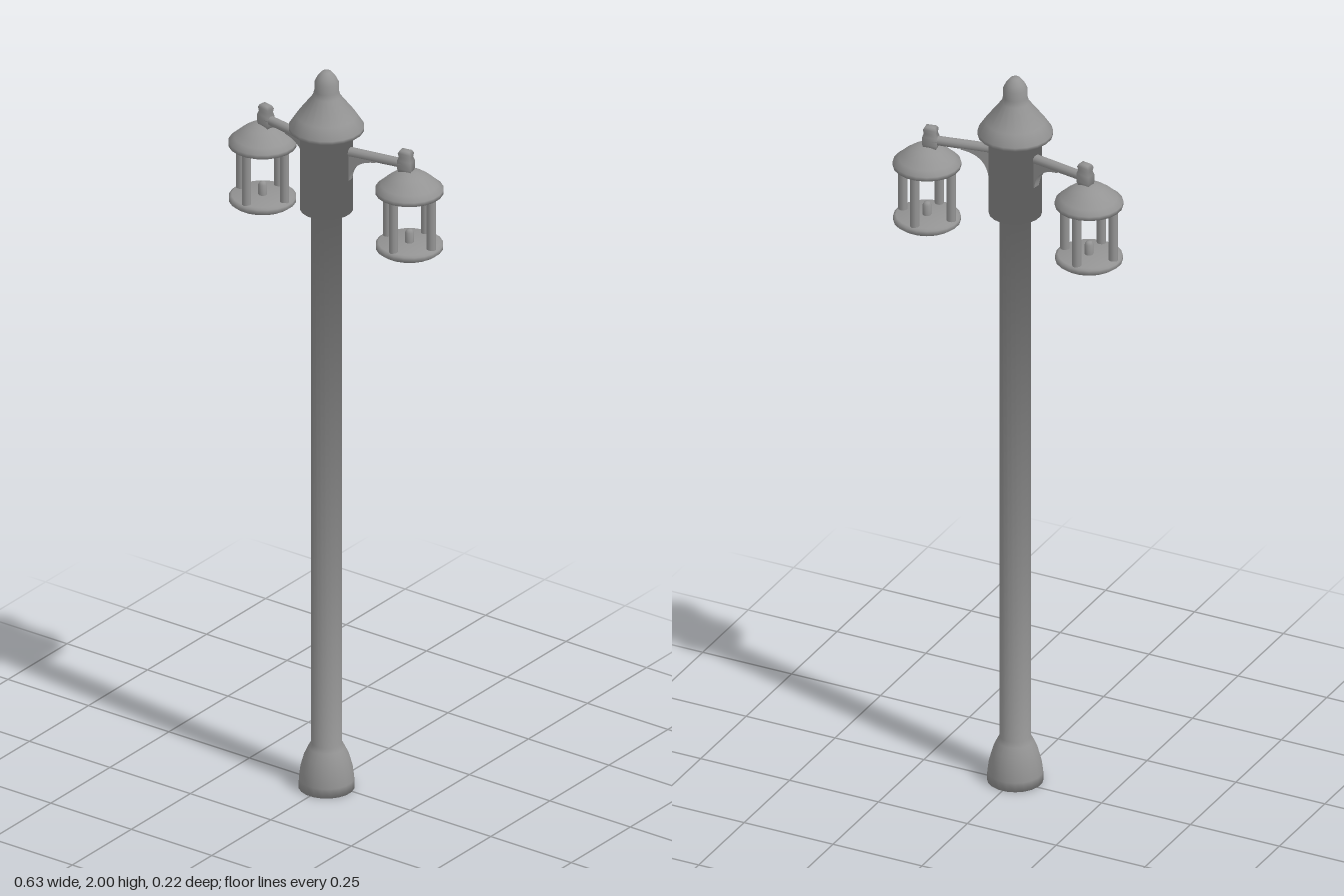
import * as THREE from 'three';
import { toCreasedNormals } from 'three/addons/utils/BufferGeometryUtils.js';

const material = new THREE.MeshStandardMaterial({ color: 0x949494 });
const POST_Z = 0.014;
const SIDES = 20;

function add(parent, name, geometry, x = 0, y = 0, z = 0) {
  const mesh = new THREE.Mesh(geometry, material);
  mesh.name = name;
  mesh.position.set(x, y, z);
  parent.add(mesh);
  return mesh;
}

// Turned part from [radius, height] pairs, listed bottom to top.
// Normals blend neighbouring slopes equally, so edges shade softly.
function turned(profile, sides = SIDES) {
  const points = profile.map(([r, y]) => new THREE.Vector2(r, y));
  const start = Math.PI / sides;
  const geometry = new THREE.LatheGeometry(points, sides, start);
  const slopes = points.slice(1).map((p, j) => {
    const d = p.clone().sub(points[j]).normalize();
    return new THREE.Vector2(d.y, -d.x);
  });
  const normal = geometry.attributes.normal;
  for (let i = 0; i <= sides; i++) {
    const a = start + (i / sides) * Math.PI * 2;
    points.forEach((p, j) => {
      const n = (slopes[j - 1] ?? slopes[j]).clone().add(slopes[j] ?? slopes[j - 1]).normalize();
      if (p.x === 0) n.set(0, Math.sign(n.y));
      normal.setXYZ(i * points.length + j, n.x * Math.sin(a), n.y, n.x * Math.cos(a));
    });
  }
  return geometry;
}

// Hanging lantern, built around its own vertical axis
function createLantern() {
  const lantern = new THREE.Group();
  add(lantern, 'lanternBase', turned([
    [0, 1.548], [0.074, 1.549], [0.085, 1.557], [0.085, 1.568], [0.078, 1.572], [0, 1.572],
  ]));
  add(lantern, 'lanternRoof', turned([
    [0, 1.711], [0.086, 1.711], [0.086, 1.722], [0.072, 1.734], [0.058, 1.747],
    [0.04, 1.76], [0.02, 1.768], [0, 1.771],
  ]));
  for (let i = 0; i < 4; i++) {
    const a = (i * Math.PI) / 2;
    add(lantern, 'lanternBar', new THREE.CylinderGeometry(0.012, 0.012, 0.142, 10),
      Math.cos(a) * 0.068, 1.641, Math.sin(a) * 0.068);
  }
  add(lantern, 'candle', turned([[0.011, 1.57], [0.011, 1.6], [0.007, 1.607], [0, 1.609]], 10));
  return lantern;
}

// Side arm reaching along +x from the post axis
function createArm() {
  const arm = new THREE.Group();
  const rod = new THREE.CylinderGeometry(0.012, 0.013, 0.165, 12).rotateZ(-Math.PI / 2);
  add(arm, 'armRod', rod, 0.1325, 1.787, 0);

  // Curved bracket filling the corner under the rod
  const shape = new THREE.Shape();
  shape.moveTo(0.055, 1.705);
  shape.lineTo(0.067, 1.71);
  shape.quadraticCurveTo(0.075, 1.77, 0.14, 1.776);
  shape.lineTo(0.14, 1.787);
  shape.lineTo(0.055, 1.787);
  shape.closePath();
  const bracket = new THREE.ExtrudeGeometry(shape, { depth: 0.02, bevelEnabled: false, curveSegments: 10 });
  add(arm, 'armBracket', toCreasedNormals(bracket.translate(0, 0, -0.01), 0.6));

  // Upturned square end with a soft waist, meeting the lantern roof
  const end = turned([
    [0, 1.76], [0.022, 1.762], [0.027, 1.775], [0.027, 1.797], [0.022, 1.807],
    [0.025, 1.817], [0.019, 1.825], [0, 1.826],
  ], 4);
  add(arm, 'armEnd', end.scale(1, 1, 0.62), 0.221, 0, 0);
  return arm;
}

export function createModel() {
  const model = new THREE.Group();
  model.name = 'streetLamp';

  // Flared foot, post, collar and pointed cap turned as one column
  add(model, 'column', turned([
    [0, 0], [0.071, 0], [0.07, 0.025], [0.066, 0.055], [0.057, 0.088], [0.046, 0.112], [0.039, 0.125],
    [0.039, 1.615], [0.067, 1.615], [0.067, 1.838], [0.095, 1.838], [0.095, 1.847],
    [0.076, 1.876], [0.035, 1.93], [0.031, 1.945], [0.031, 1.968], [0.023, 1.984], [0.012, 1.997], [0, 2],
  ]), 0, 0, POST_Z);

  // Mirrored arms swept slightly back, each with a lantern
  for (const side of [1, -1]) {
    const arm = createArm();
    arm.name = side > 0 ? 'leftArm' : 'rightArm';
    arm.position.z = POST_Z;
    arm.rotation.y = side > 0 ? 0.18 : Math.PI - 0.18;
    model.add(arm);

    const lantern = createLantern();
    lantern.name = side > 0 ? 'leftLantern' : 'rightLantern';
    lantern.position.set(side * 0.228, 0, -0.026);
    model.add(lantern);
  }
  return model;
}
